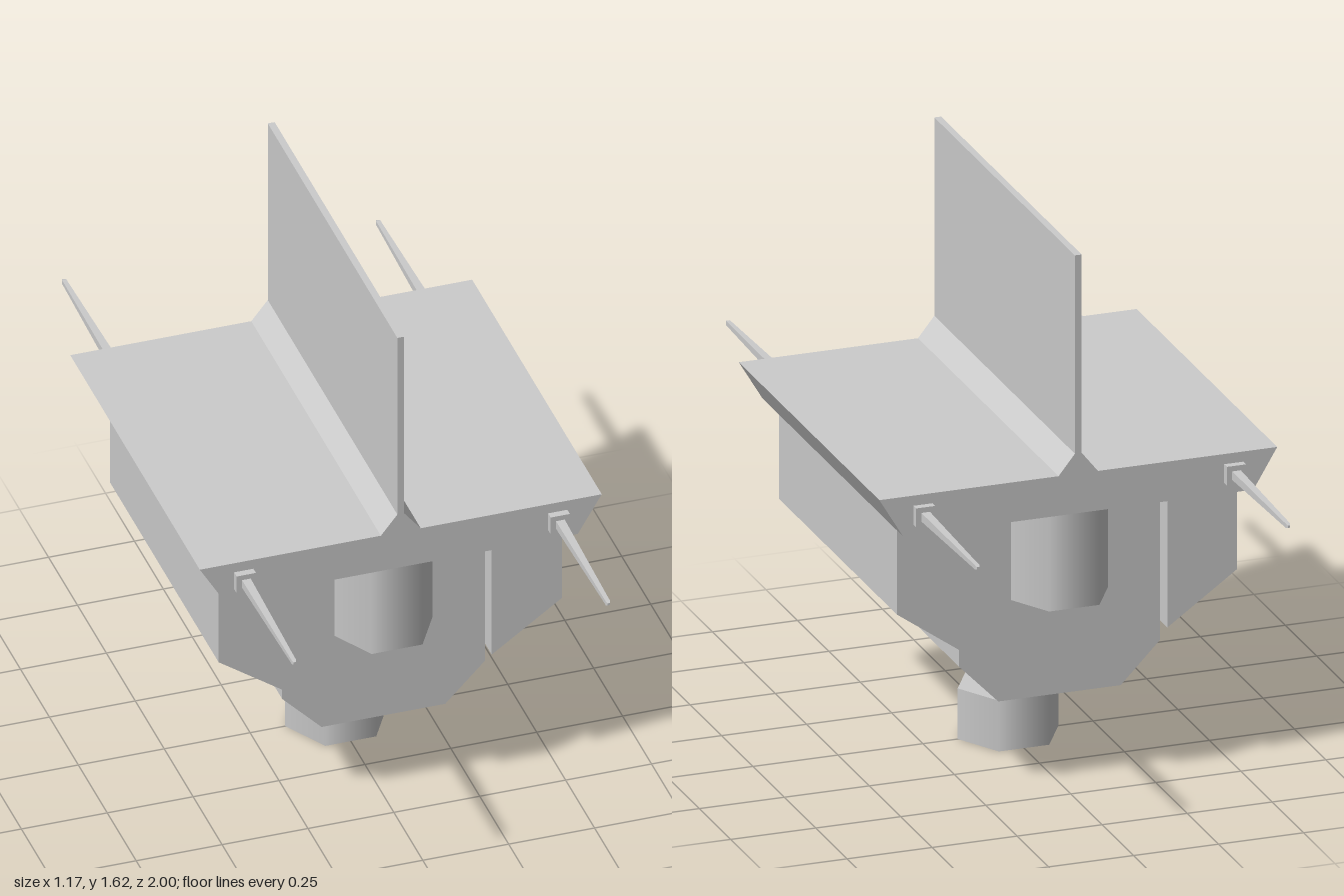
import * as THREE from 'three';

const flat = new THREE.MeshStandardMaterial({ color: 0xcccccc, flatShading: true });
const smooth = new THREE.MeshStandardMaterial({ color: 0xcccccc });

export function createModel() {
  const model = new THREE.Group();

  function add(name, geometry, material, x = 0, y = 0, z = 0) {
    const mesh = new THREE.Mesh(geometry, material);
    mesh.name = name;
    mesh.position.set(x, y, z);
    model.add(mesh);
    return mesh;
  }

  // Profile in x/y, extruded evenly about z = 0
  function prism(points, halfDepth) {
    const shape = new THREE.Shape(points.map(([x, y]) => new THREE.Vector2(x, y)));
    const geometry = new THREE.ExtrudeGeometry(shape, { depth: 2 * halfDepth, bevelEnabled: false });
    return geometry.translate(0, 0, -halfDepth);
  }

  // Completes a right-half outline (bottom to top) with its mirror image
  const mirrored = (half) => [...half, ...half.map(([x, y]) => [-x, y]).reverse()];

  // Wide deck with flared sides, a sloped ridge and a tall thin fin
  add('deckAndFin', prism(mirrored([
    [0.515, 0.853], [0.585, 0.97], [0.058, 0.97], [0.01, 1.03], [0.01, 1.617],
  ]), 0.56), flat);

  // Central hull with chamfered bottom edges
  add('hull', prism(mirrored([[0.18, 0.265], [0.295, 0.383], [0.295, 0.853]]), 0.41), flat);

  // Side pods with sloped undersides
  for (const s of [1, -1]) {
    const pod = [[0.295, 0.442], [0.5, 0.587], [0.5, 0.853], [0.295, 0.853]];
    add(s > 0 ? 'leftPod' : 'rightPod', prism(pod.map(([x, y]) => [s * x, y]), 0.47), flat);
  }

  // Six-sided drums with corners at +x and -x
  const drum = (height) => new THREE.CylinderGeometry(0.148, 0.148, height, 6).rotateY(Math.PI / 6);
  add('frontDrum', drum(0.293), smooth, 0, 0.7065, 0.4);
  add('backDrum', drum(0.293), smooth, 0, 0.7065, -0.4);
  add('lowerDrum', drum(0.15), smooth, 0, 0.075, 0);

  // Four tapered rods on square mounts at the deck corners
  const rodProfile = [[0, 0], [0.018, 0], [0.009, 0.4], [0.009, 0.415], [0.005, 0.422], [0, 0.422]];
  const rod = new THREE.LatheGeometry(rodProfile.map(([r, y]) => new THREE.Vector2(r, y)), 4)
    .rotateY(Math.PI / 4).rotateX(Math.PI / 2);
  for (const x of [0.457, -0.457]) {
    for (const s of [1, -1]) {
      add('rodMount', new THREE.BoxGeometry(0.056, 0.056, 0.04), flat, x, 0.912, s * 0.562);
      add('rod', rod, flat, x, 0.912, s * 0.578).rotation.y = s > 0 ? 0 : Math.PI;
    }
  }

  return model;
}
